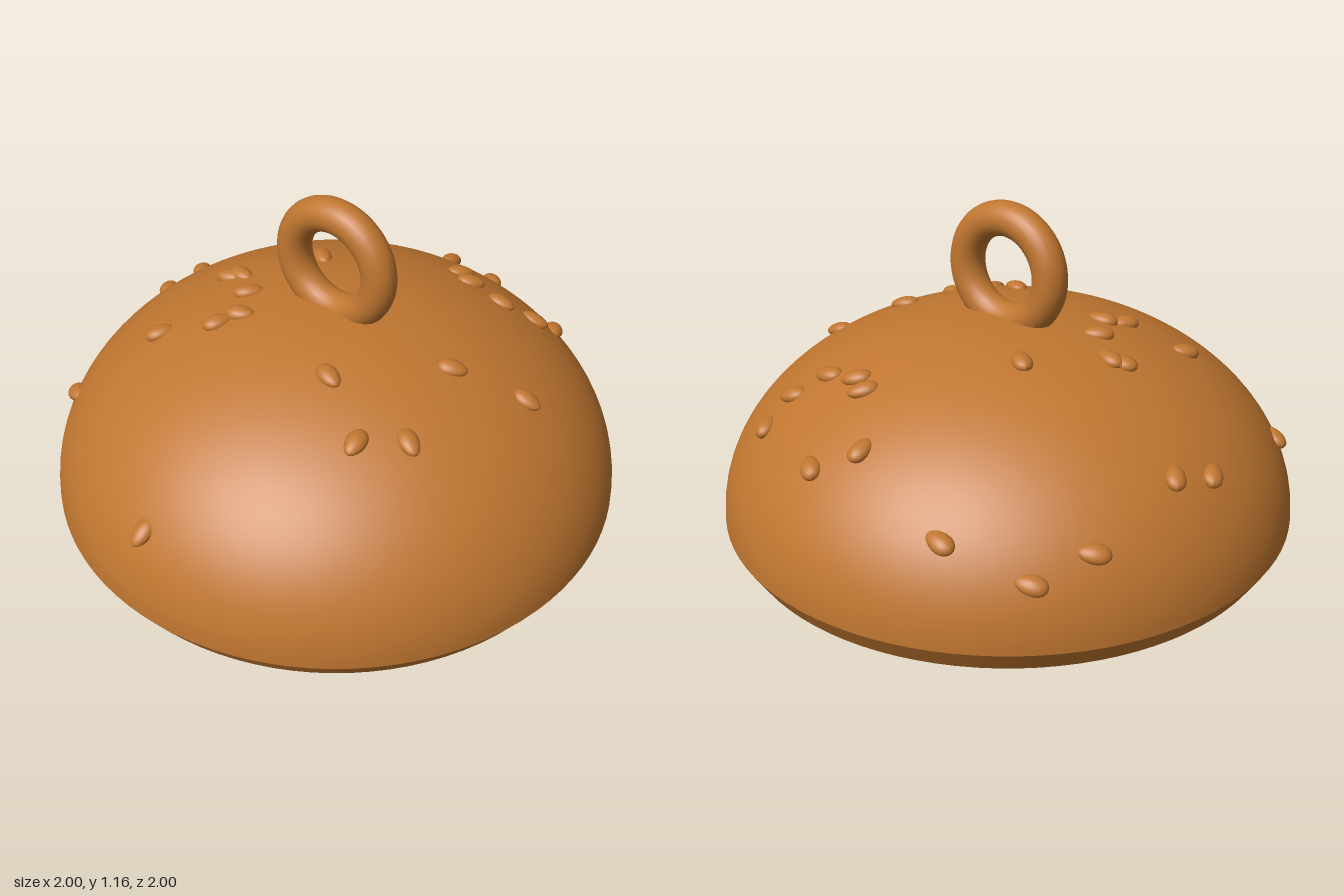
import * as THREE from 'three';

const RIM = 0.08;    // height where the dome starts
const RISE = 0.69;   // height of the dome above the rim

export function createModel() {
  const group = new THREE.Group();
  const crust = new THREE.MeshStandardMaterial({ color: 0xc07630 });
  crust.name = 'goldenBrown';

  const add = (name, geometry, parent = group) => {
    const mesh = new THREE.Mesh(geometry, crust);
    mesh.name = name;
    parent.add(mesh);
    return mesh;
  };
  const lathe = (name, points) =>
    add(name, new THREE.LatheGeometry(points.map(([r, y]) => new THREE.Vector2(r, y)), 96));

  // Half-ellipsoid bun
  const arc = [];
  for (let i = 0; i <= 40; i++) {
    const a = (i / 40) * Math.PI / 2;
    arc.push([i === 40 ? 0 : Math.cos(a), RIM + RISE * Math.sin(a)]);
  }
  lathe('dome', arc);

  // Bevelled foot, flat underside and the blind hole in it
  lathe('bevel', [[0.95, 0], [1, RIM]]);
  lathe('underside', [[0.13, 0], [0.95, 0]]);
  lathe('holeWall', [[0.13, 0.13], [0.13, 0]]);
  lathe('holeEnd', [[0, 0.19], [0.13, 0.13]]);

  // Hanging ring
  add('ring', new THREE.TorusGeometry(0.178, 0.06, 24, 72)).position.y = 0.92;

  // Egg-shaped seed, narrower at one end
  const seedGeometry = new THREE.SphereGeometry(1, 20, 14);
  const p = seedGeometry.attributes.position;
  for (let i = 0; i < p.count; i++) {
    const x = p.getX(i), taper = 1 - 0.15 * x;
    p.setXYZ(i, x * 0.053, p.getY(i) * 0.025 * taper, p.getZ(i) * 0.034 * taper);
  }
  seedGeometry.computeVertexNormals();

  // Seeds: x, z, heading in degrees
  const seeds = [
    [-0.40, -0.80, 10], [0.12, -0.82, 45], [-0.025, -0.74, 85], [-0.655, -0.69, -20],
    [-0.755, -0.52, -35], [0.465, -0.70, 70], [0.435, -0.60, -20], [0.335, -0.525, -10],
    [0.20, -0.53, -35], [0.13, -0.57, -50], [-0.245, -0.23, 35], [-0.80, -0.17, 45],
    [-0.85, -0.03, 55], [-0.455, 0.03, -15], [-0.42, 0.01, 10], [-0.305, 0.105, -40],
    [-0.24, 0.22, -20], [-0.285, 0.285, -60], [-0.48, 0.37, -55], [0.675, -0.155, -5],
    [0.465, -0.02, -25], [0.205, 0.295, 20], [0.53, 0.305, 30], [0.41, 0.42, 80],
    [-0.765, 0.535, 20], [-0.05, 0.915, 90],
  ];
  const seedGroup = new THREE.Group();
  seedGroup.name = 'seeds';
  group.add(seedGroup);
  for (const [x, z, degrees] of seeds) {
    const h = RISE * Math.sqrt(1 - x * x - z * z);
    // Seeds lean halfway between upright and the surface normal
    const up = new THREE.Vector3(x, h / (RISE * RISE), z).normalize();
    up.y += 1;
    up.normalize();
    const a = THREE.MathUtils.degToRad(degrees);
    const along = new THREE.Vector3(Math.cos(a), 0, Math.sin(a)).projectOnPlane(up).normalize();
    const side = new THREE.Vector3().crossVectors(along, up);
    const seed = add('seed', seedGeometry, seedGroup);
    seed.quaternion.setFromRotationMatrix(new THREE.Matrix4().makeBasis(along, up, side));
    seed.position.set(x, RIM + h, z);
  }
  return group;
}
